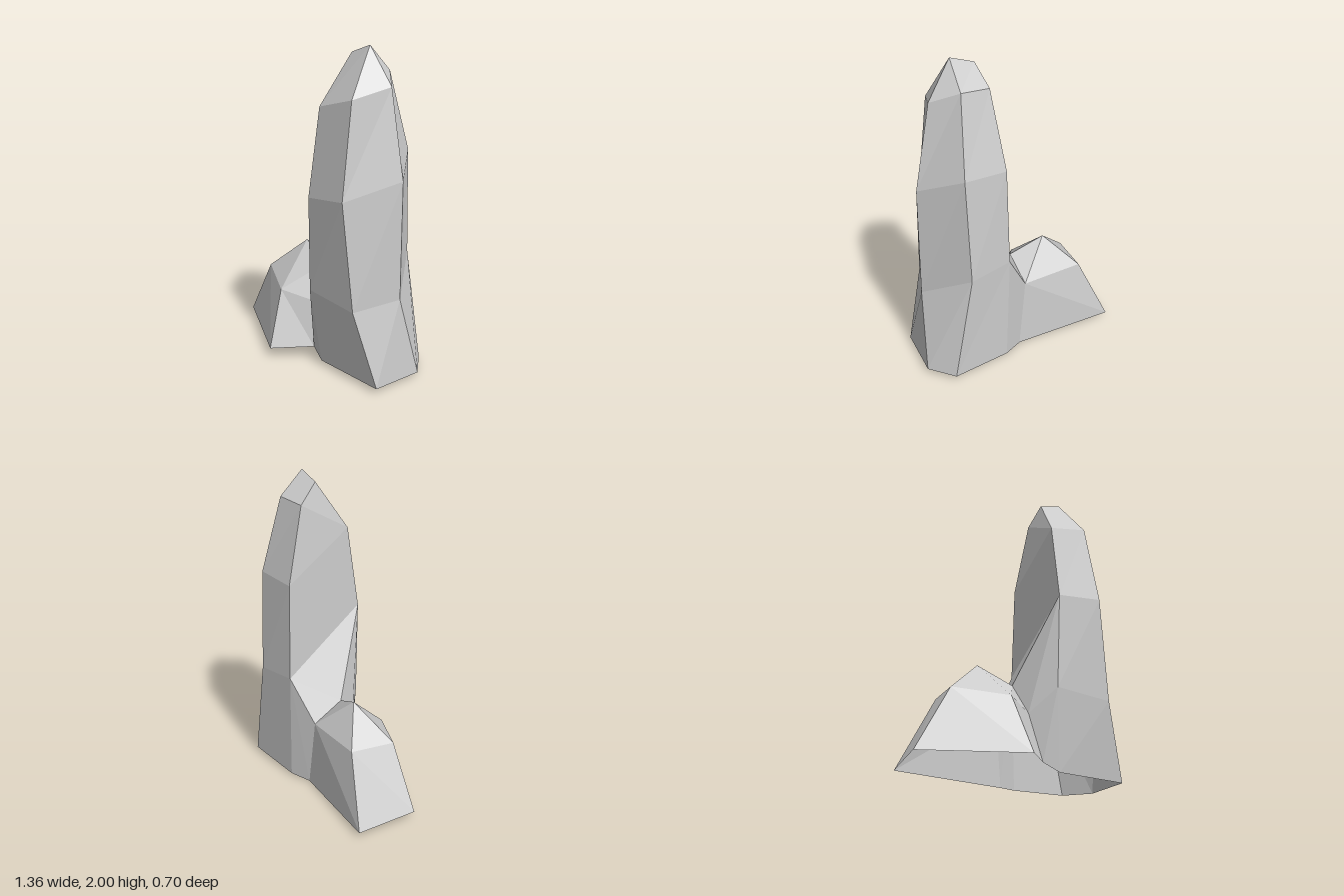
import * as THREE from 'three';

// Flat-shaded surface from polygons, each a list of corner points; repeated corners collapse.
function facets(name, polygons) {
  const positions = [];
  for (const polygon of polygons) {
    const p = polygon.filter((c, i) => c !== polygon[(i + 1) % polygon.length]);
    for (let i = 1; i + 1 < p.length; i++) positions.push(...p[0], ...p[i], ...p[i + 1]);
  }
  const geometry = new THREE.BufferGeometry();
  geometry.setAttribute('position', new THREE.Float32BufferAttribute(positions, 3));
  geometry.computeVertexNormals();
  const material = new THREE.MeshStandardMaterial({
    color: 0xcccccc, flatShading: true, side: THREE.DoubleSide,
  });
  const mesh = new THREE.Mesh(geometry, material);
  mesh.name = name;
  return mesh;
}

export function createModel() {
  const group = new THREE.Group();
  group.name = 'rockFormation';

  // Pillar cross-sections: front-left, front-right, side, back-right, back-left
  const tipLow = [0.22, 1.95, -0.04], tipHigh = [0.37, 2.0, -0.04];
  const rings = [
    [[0.19, 0.03, 0.16], [0.66, 0.03, 0.13], [0.68, 0.03, -0.2], [0.55, 0.03, -0.35], [0.16, 0.01, -0.3]],
    [[0.15, 0.52, 0.22], [0.53, 0.5, 0.21], [0.635, 0.54, -0.07], [0.42, 0.72, -0.345], [0.14, 0.74, -0.3]],
    [[0.165, 1.12, 0.24], [0.47, 1.16, 0.245], [0.625, 1.26, -0.075], [0.43, 1.38, -0.31], [0.15, 1.36, -0.28]],
    [[0.17, 1.65, 0.16], [0.44, 1.72, 0.155], [0.52, 1.78, -0.07], [0.38, 1.85, -0.19], [0.19, 1.83, -0.16]],
    [tipLow, tipHigh, tipHigh, tipHigh, tipLow],
  ];
  const pillar = [];
  for (let r = 0; r < 4; r++) {
    for (let i = 0; i < 5; i++) {
      if (i === 4 && r < 2) continue; // the saddle joins here
      const j = (i + 1) % 5;
      pillar.push([rings[r][i], rings[r][j], rings[r + 1][j], rings[r + 1][i]]);
    }
  }

  // Corners shared by the saddle and the boulder
  const saddleFront = [-0.02, 0.57, -0.02], saddleBack = [-0.02, 0.46, -0.22];
  const valleyMid = [0.02, 0.37, 0.1], valleyBase = [0.09, 0.08, 0.14];
  const backBase = [0.03, 0, -0.24];
  const [frontBase, frontLow, frontMid] = rings.map((ring) => ring[0]);
  const [rearBase, rearLow, rearMid] = rings.map((ring) => ring[4]);

  // Saddle leaning against the pillar
  const saddle = [
    [rearMid, rearLow, frontMid],
    [frontMid, rearLow, saddleFront],
    [rearLow, saddleBack, saddleFront],
    [frontMid, saddleFront, valleyMid, frontLow],
    [frontLow, valleyMid, valleyBase, frontBase],
    [rearLow, rearBase, backBase, saddleBack],
  ];

  // Low boulder: peak, shoulders and foot
  const peak = [-0.235, 0.675, -0.07];
  const shoulders = [saddleBack, [-0.43, 0.47, -0.22], [-0.47, 0.455, 0.065], [-0.16, 0.415, 0.21], valleyMid];
  const feet = [backBase, [-0.63, 0.035, -0.3], [-0.68, 0.06, 0.08], [-0.1, 0.06, 0.35], valleyBase];
  const boulder = [
    [peak, shoulders[3], saddleFront],
    [peak, saddleFront, saddleBack],
    [shoulders[3], valleyMid, saddleFront],
  ];
  for (let i = 0; i < 4; i++) {
    boulder.push([shoulders[i], feet[i], feet[i + 1], shoulders[i + 1]]);
    if (i < 3) boulder.push([peak, shoulders[i], shoulders[i + 1]]);
  }

  group.add(facets('tallPillar', pillar), facets('saddle', saddle), facets('lowBoulder', boulder));
  return group;
}
